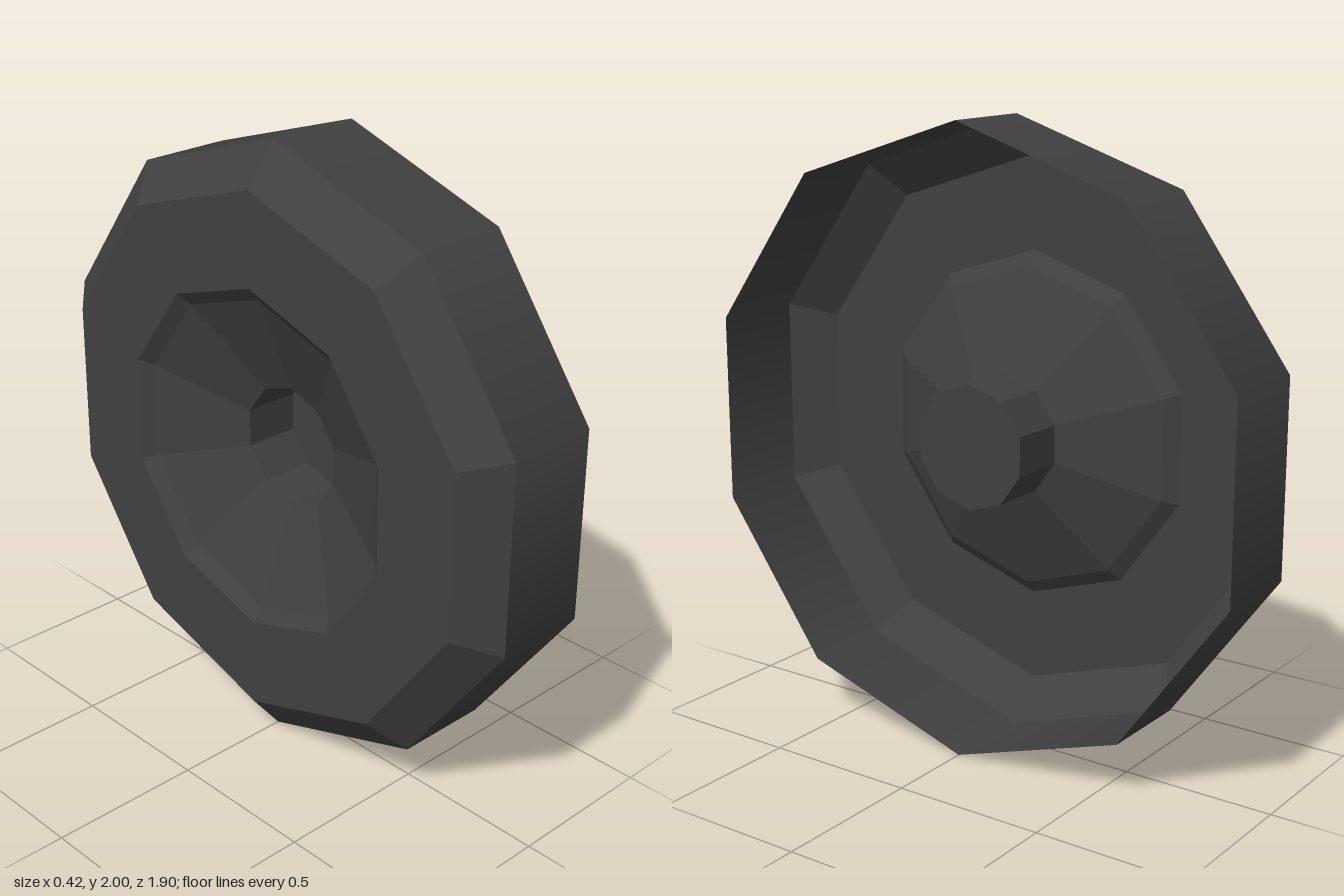
import * as THREE from 'three';

const SIDES = 10;

export function createModel() {
  const darkGrey = new THREE.MeshStandardMaterial({ color: 0x404040, side: THREE.DoubleSide });
  darkGrey.name = 'darkGrey';

  const wheel = new THREE.Group();
  wheel.name = 'wheel';

  // Ten-sided ring swept around the x axis; profile points are [x, radius]
  function addRing(name, profile, smooth = false) {
    const points = profile.map(([x, r]) => new THREE.Vector2(r, x));
    let geometry = new THREE.LatheGeometry(points, SIDES, Math.PI / 2);
    geometry.rotateZ(-Math.PI / 2); // lathe axis y becomes x, a corner points up
    if (!smooth) {
      geometry = geometry.toNonIndexed();
      geometry.computeVertexNormals();
    }
    const mesh = new THREE.Mesh(geometry, darkGrey);
    mesh.name = name;
    mesh.position.y = 1;
    wheel.add(mesh);
  }

  // Thin shell, open on the +x side, listed from the hub outward
  addRing('hubCap', [[0.145, 0], [0.145, 0.2]]);
  addRing('hubWall', [[0.145, 0.2], [-0.043, 0.2]]);
  addRing('dishCone', [[-0.043, 0.2], [-0.175, 0.525]]);
  addRing('dishLip', [[-0.175, 0.525], [-0.21, 0.57]]);
  addRing('sideWall', [[-0.21, 0.57], [-0.21, 0.87]]);
  addRing('shoulder', [[-0.21, 0.87], [-0.105, 1]]);
  addRing('tread', [[-0.105, 1], [0.207, 1]], true);

  return wheel;
}
